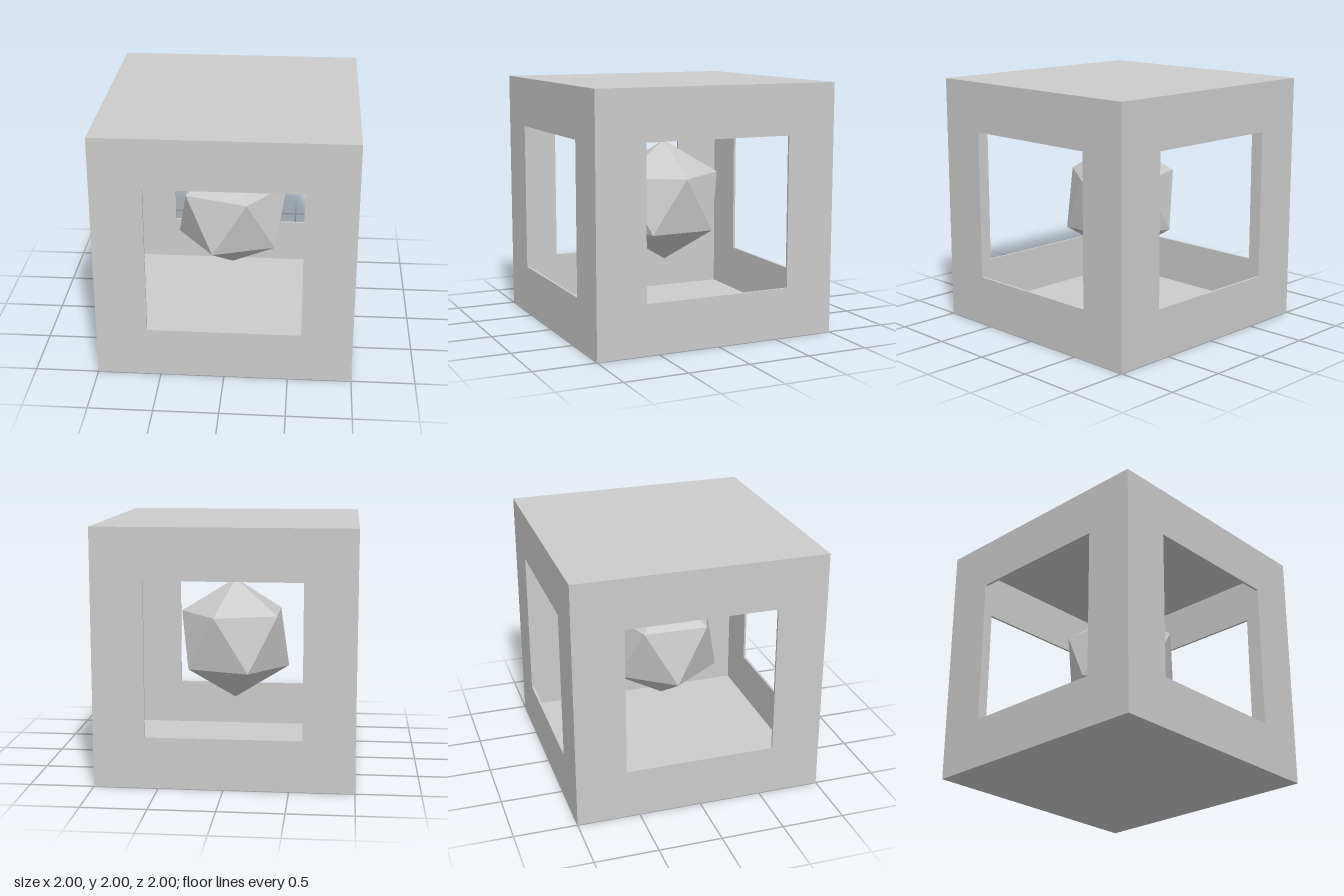
import * as THREE from 'three';

export function createModel() {
  const group = new THREE.Group();
  const material = new THREE.MeshStandardMaterial({ color: 0xcccccc, flatShading: true });
  const T = 0.02; // panel thickness

  const add = (name, geometry, x, y, z) => {
    const mesh = new THREE.Mesh(geometry, material);
    mesh.name = name;
    mesh.position.set(x, y, z);
    group.add(mesh);
    return mesh;
  };

  // Upright panel with a square window, centred on its own origin
  const windowPanel = (width) => {
    const w = width / 2, h = 1 - T, r = 0.6;
    const shape = new THREE.Shape([[-w, -h], [w, -h], [w, h], [-w, h]].map(p => new THREE.Vector2(...p)));
    shape.holes.push(new THREE.Path([[-r, -r], [-r, r], [r, r], [r, -r]].map(p => new THREE.Vector2(...p))));
    return new THREE.ExtrudeGeometry(shape, { depth: T, bevelEnabled: false }).translate(0, 0, -T / 2);
  };

  // Closed floor and roof
  const plate = new THREE.BoxGeometry(2, T, 2);
  add('floor', plate, 0, T / 2, 0);
  add('roof', plate, 0, 2 - T / 2, 0);

  // Four windowed walls; the side walls fit between front and back
  const wide = windowPanel(2), narrow = windowPanel(2 - 2 * T);
  const d = 1 - T / 2;
  add('frontWall', wide, 0, 1, d);
  add('backWall', wide, 0, 1, -d);
  add('leftWall', narrow, d, 1, 0).rotation.y = Math.PI / 2;
  add('rightWall', narrow, -d, 1, 0).rotation.y = Math.PI / 2;

  // Floating icosahedron, stood on a vertex with a very slight forward tilt
  const gem = add('icosahedron', new THREE.IcosahedronGeometry(0.5, 0), 0, 1, 0);
  gem.rotation.set(0.01, 0, -Math.atan(2 / (1 + Math.sqrt(5))));

  return group;
}
